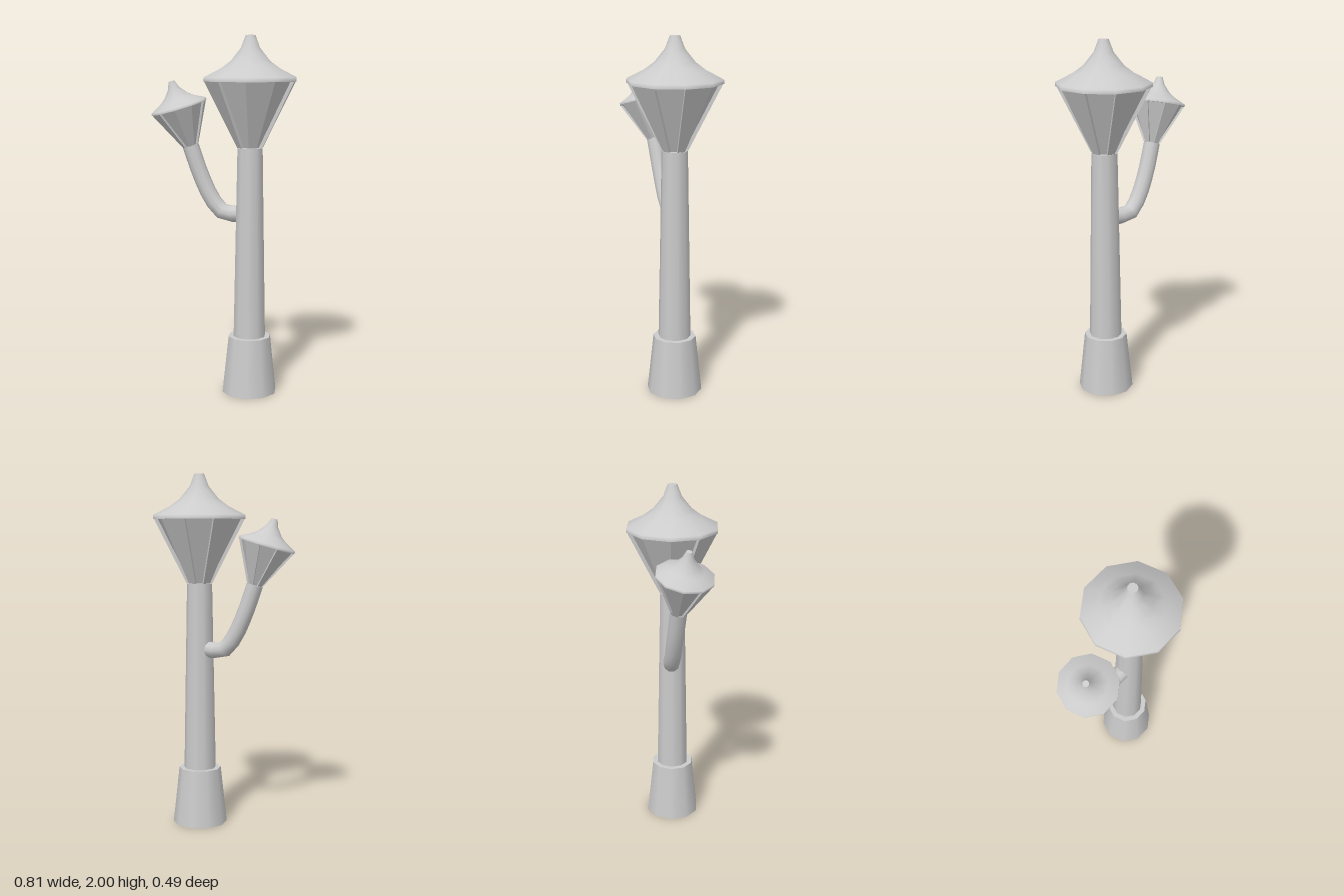
import * as THREE from 'three';

const SIDES = 10;
const STEP = (Math.PI * 2) / SIDES;
const mat = new THREE.MeshStandardMaterial({ color: 0xcccccc, side: THREE.DoubleSide });

function add(parent, name, geometry) {
  const mesh = new THREE.Mesh(geometry, mat);
  mesh.name = name;
  parent.add(mesh);
  return mesh;
}

// Tapered ten-sided post with a corner on the x axis
function post(rTop, rBottom, y0, y1, open = false) {
  const g = new THREE.CylinderGeometry(rTop, rBottom, y1 - y0, SIDES, 1, open, Math.PI / 2);
  return g.translate(0, (y0 + y1) / 2, 0);
}

// Flat ten-sided disc facing up or down
function disc(radius, y, up) {
  const g = new THREE.CircleGeometry(radius, SIDES);
  return g.rotateX(up ? -Math.PI / 2 : Math.PI / 2).translate(0, y, 0);
}

// Flared lantern: every other panel is set back, with side walls at the steps
function lanternGeometry(height, rBottom, rTop, recess) {
  const pos = [];
  const at = (r, i, y) => [r * Math.cos(i * STEP), y, r * Math.sin(i * STEP)];
  const quad = (a, b, c, d) => pos.push(...a, ...b, ...c, ...a, ...c, ...d);
  for (let i = 0; i < SIDES; i++) {
    const inset = i % 2 === 0 ? recess : 0;
    const b = rBottom - inset, t = rTop - inset;
    quad(at(b, i, 0), at(t, i, height), at(t, i + 1, height), at(b, i + 1, 0));
    const wall = [at(rBottom - recess, i, 0), at(rTop - recess, i, height), at(rTop, i, height), at(rBottom, i, 0)];
    if (i % 2 === 0) wall.reverse();
    quad(...wall);
  }
  const g = new THREE.BufferGeometry();
  g.setAttribute('position', new THREE.Float32BufferAttribute(pos, 3));
  g.computeVertexNormals();
  return g;
}

// Lamp head, standing on its own origin
function lampHead(name) {
  const head = new THREE.Group();
  head.name = name;
  add(head, 'lanternPanels', lanternGeometry(0.36, 0.073, 0.255, 0.022));
  const profile = [[0.26, 0.36], [0.259, 0.382], [0.165, 0.43], [0.11, 0.47], [0.053, 0.54], [0.027, 0.608]]
    .map(([r, y]) => new THREE.Vector2(r, y));
  add(head, 'roof', new THREE.LatheGeometry(profile, SIDES, Math.PI / 2));
  add(head, 'roofUnderside', disc(0.26, 0.36, false));
  add(head, 'roofTip', disc(0.027, 0.608, true));
  return head;
}

export function createModel() {
  const model = new THREE.Group();
  model.name = 'streetLamp';

  // Main lamp
  const main = new THREE.Group();
  main.name = 'mainLamp';
  main.position.x = 0.146;
  add(main, 'base', post(0.12, 0.155, 0, 0.325, true));
  add(main, 'baseTop', disc(0.12, 0.325, true));
  add(main, 'pole', post(0.071, 0.091, 0.32, 1.39));
  const bigHead = lampHead('mainHead');
  bigHead.position.y = 1.392;
  main.add(bigHead);
  model.add(main);

  // Curved side arm
  const path = new THREE.CurvePath();
  const pts = [[0.11, 1.02, 0], [-0.015, 1.022, 0], [-0.075, 1.085, 0.01], [-0.14, 1.22, 0.025], [-0.198, 1.395, 0.045]]
    .map((p) => new THREE.Vector3(...p));
  const curve = new THREE.CatmullRomCurve3(pts, false, 'centripetal');
  add(model, 'arm', new THREE.TubeGeometry(curve, 8, 0.046, SIDES, false));

  // Smaller head, leaning outwards on the arm
  const smallHead = lampHead('sideHead');
  smallHead.scale.setScalar(0.615);
  smallHead.position.set(-0.197, 1.393, 0.045);
  const axis = new THREE.Vector3(-0.24, 0.96, 0.15).normalize();
  smallHead.quaternion.setFromUnitVectors(new THREE.Vector3(0, 1, 0), axis);
  model.add(smallHead);

  return model;
}
